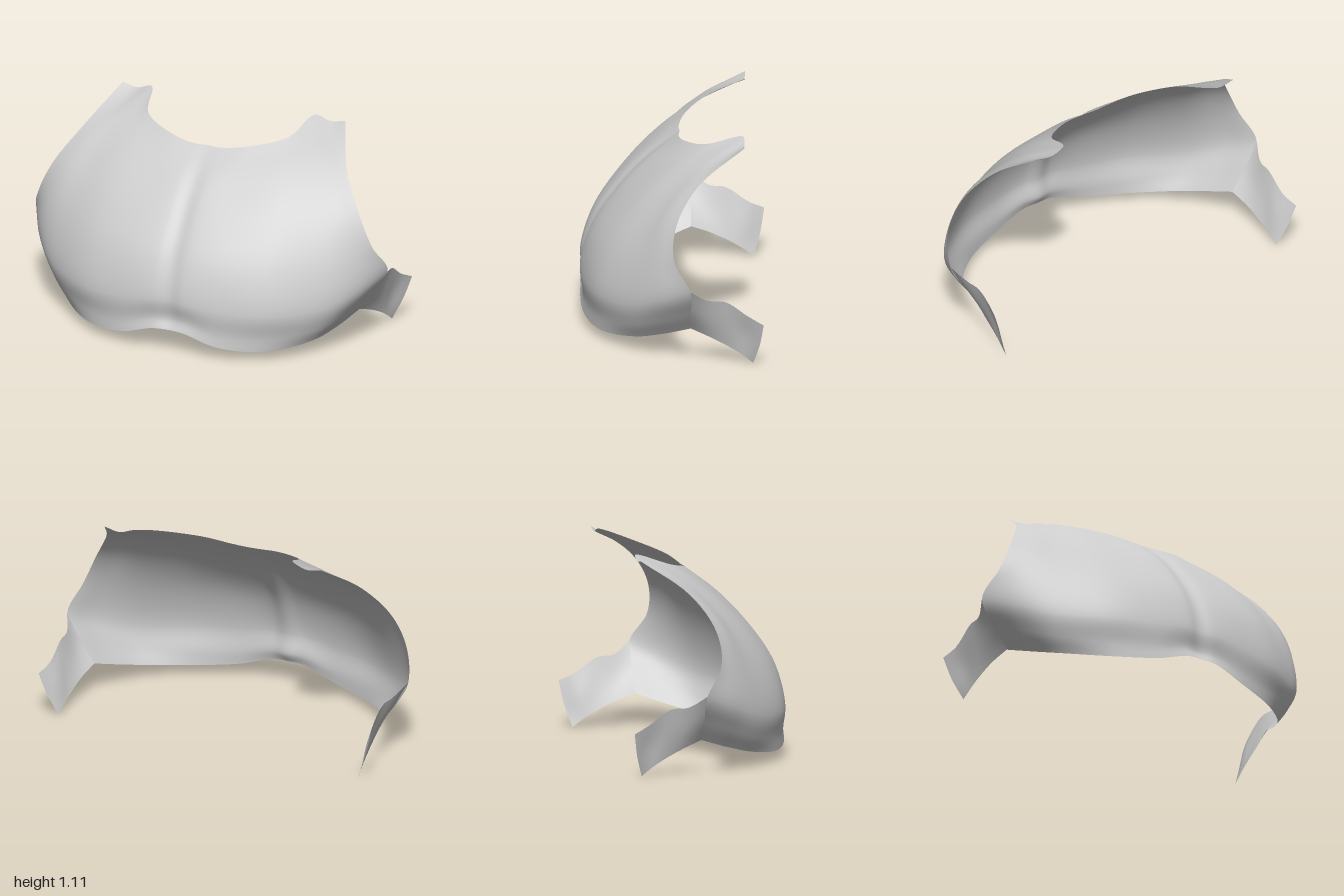
import * as THREE from 'three';

const material = new THREE.MeshStandardMaterial({ color: 0xcccccc, side: THREE.DoubleSide });

const V = (p) => new THREE.Vector3(...p);
const spline = (points) => new THREE.CatmullRomCurve3(points, false, 'centripetal');
const mirror = (column) => column.map(([x, y, z]) => [-x, y, z]);

// Smooth open sheet through columns of points (columns run -x to +x, points run upwards)
function sheet(name, columns, stepsAcross, stepsUp) {
  const across = (columns.length - 1) * stepsAcross;
  const up = (columns[0].length - 1) * stepsUp;
  const dense = columns.map((c) => {
    const curve = spline(c.map(V));
    return Array.from({ length: up + 1 }, (_, j) => curve.getPoint(j / up));
  });
  const positions = [], index = [];
  for (let j = 0; j <= up; j++) {
    const row = spline(dense.map((c) => c[j]));
    for (let i = 0; i <= across; i++) positions.push(...row.getPoint(i / across).toArray());
  }
  for (let j = 0; j < up; j++) {
    for (let i = 0; i < across; i++) {
      const a = j * (across + 1) + i, d = a + across + 1;
      index.push(a, a + 1, d + 1, a, d + 1, d);
    }
  }
  const geometry = new THREE.BufferGeometry();
  geometry.setAttribute('position', new THREE.Float32BufferAttribute(positions, 3));
  geometry.setIndex(index);
  geometry.computeVertexNormals();
  const mesh = new THREE.Mesh(geometry, material);
  mesh.name = name;
  return mesh;
}

// Half of the chest plate: each column runs from the lower rim to the neckline
const centre = [[0, .14, .475], [0, .19, .45], [0, .3, .462], [0, .5, .4], [0, .7, .265], [0, .86, .115], [0, .985, -.04]];
const half = [
  [[.09, .135, .478], [.09, .19, .463], [.09, .3, .478], [.085, .5, .418], [.08, .7, .283], [.08, .86, .13], [.08, .985, -.036]],
  [[.27, .08, .46], [.27, .15, .455], [.27, .28, .465], [.26, .5, .405], [.25, .71, .26], [.24, .88, .09], [.22, 1.005, -.065]],
  [[.5, .06, .37], [.51, .14, .375], [.52, .27, .395], [.5, .5, .335], [.47, .72, .2], [.44, .905, .02], [.4, 1.045, -.18]],
  [[.7, .09, .19], [.74, .17, .21], [.77, .29, .225], [.74, .51, .19], [.67, .74, .09], [.58, .95, -.1], [.465, 1.11, -.37]],
  [[.78, .13, .05], [.85, .23, .06], [.91, .36, .07], [.87, .55, .08], [.78, .75, .035], [.67, .945, -.125], [.55, 1.085, -.378]],
  // armhole edge
  [[.84, .18, -.1], [.92, .29, -.1], [1, .43, -.1], [.95, .58, -.015], [.87, .75, -.025], [.75, .93, -.14], [.635, 1.1, -.38]],
];

// Side strap, from the armhole edge to its free end
const strap = [
  half[5].slice(0, 3),
  [[.86, .14, -.2], [.91, .25, -.19], [.955, .37, -.19]],
  [[.87, .09, -.3], [.91, .23, -.29], [.945, .36, -.28]],
  [[.875, .05, -.365], [.905, .17, -.385], [.945, .28, -.4]],
  [[.88, .005, -.425], [.93, .12, -.46], [.97, .24, -.48]],
];

export function createModel() {
  const group = new THREE.Group();
  group.name = 'chestPlate';
  const columns = [...half.map(mirror).reverse(), centre, ...half];
  group.add(sheet('breastplate', columns, 6, 6));
  group.add(sheet('leftSideStrap', strap, 5, 6));
  group.add(sheet('rightSideStrap', strap.map(mirror).reverse(), 5, 6));
  return group;
}
